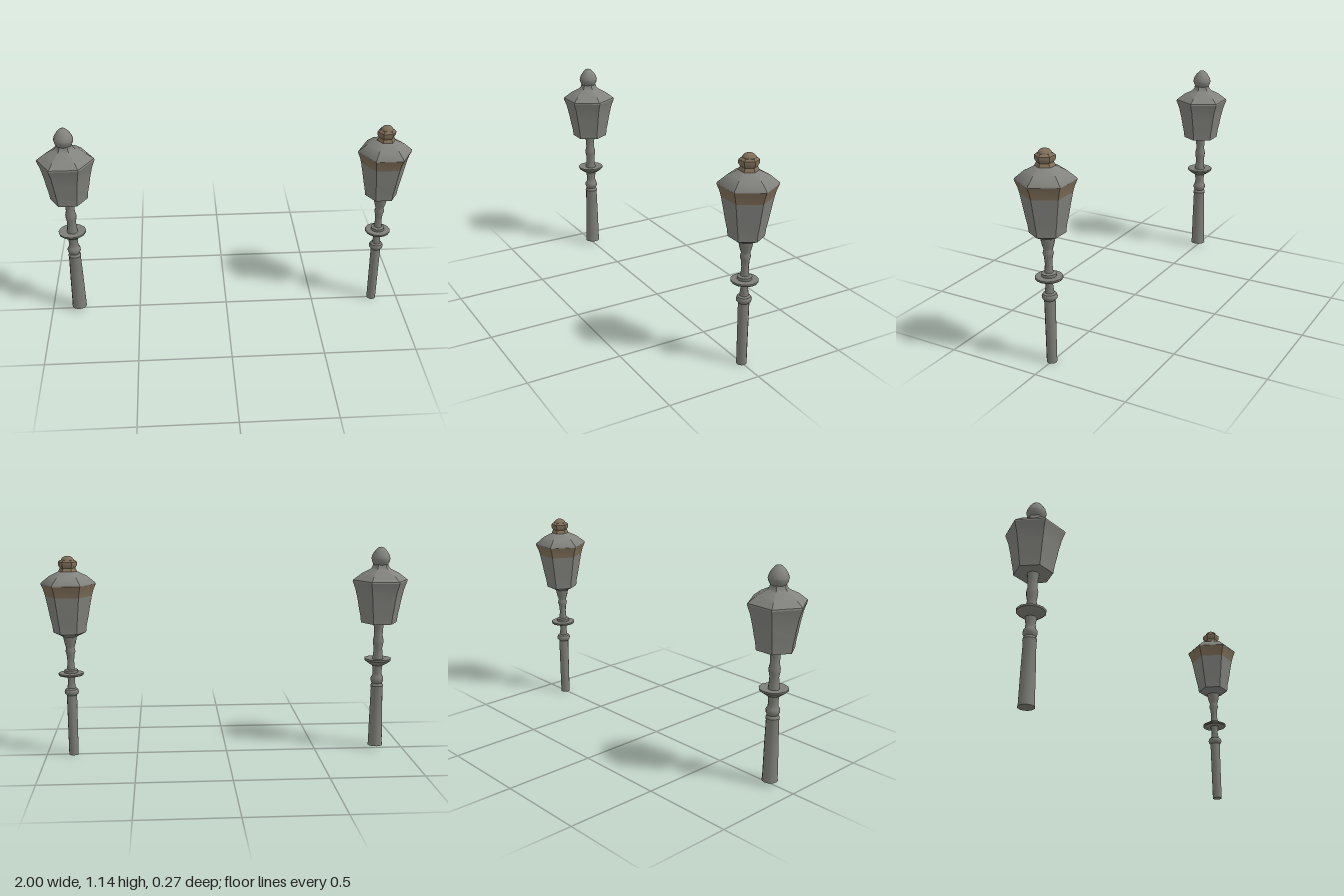
import * as THREE from 'three';
import { toCreasedNormals } from 'three/addons/utils/BufferGeometryUtils.js';

const mat = (name, color) => {
  const m = new THREE.MeshStandardMaterial({ color });
  m.name = name;
  return m;
};

// Turned part: profile of [radius, height] from bottom to top, one corner on +x
function turned(name, profile, sides, material) {
  const points = profile.map(([r, y]) => new THREE.Vector2(r, y));
  const geo = toCreasedNormals(new THREE.LatheGeometry(points, sides, Math.PI / 2), 0.6);
  const mesh = new THREE.Mesh(geo, material);
  mesh.name = name;
  return mesh;
}

function lamp(name, x, parts) {
  const group = new THREE.Group();
  group.name = name;
  group.position.x = x;
  parts.forEach(([part, sides, material, profile]) => group.add(turned(part, profile, sides, material)));
  return group;
}

export function createModel() {
  const iron = mat('iron grey', 0x82827e);
  const post = mat('post grey', 0x7d7e77);
  const rust = mat('rusty brown', 0x80705a);
  const model = new THREE.Group();
  model.name = 'streetLamps';

  // Taller lamp with a pointed finial
  model.add(lamp('pointedLamp', -0.847, [
    ['lowerPost', 12, post, [[0, 0.02], [0.042, 0.02], [0.04, 0.035], [0.037, 0.2], [0.033, 0.35],
      [0.036, 0.365], [0.029, 0.38], [0.036, 0.395], [0.036, 0.41], [0.027, 0.425], [0.025, 0.45], [0.03, 0.485]]],
    ['dish', 12, post, [[0.028, 0.482], [0.042, 0.488], [0.074, 0.512], [0.075, 0.522], [0.03, 0.518], [0, 0.518]]],
    ['upperPost', 12, post, [[0.03, 0.515], [0.027, 0.54], [0.024, 0.58], [0.029, 0.605], [0.03, 0.625],
      [0.024, 0.65], [0.026, 0.69], [0.031, 0.73]]],
    ['lantern', 6, iron, [[0, 0.725], [0.1, 0.725], [0.106, 0.77], [0.113, 0.8], [0.122, 0.85],
      [0.136, 0.91], [0.153, 0.955]]],
    ['roof', 6, iron, [[0.153, 0.955], [0.151, 0.963], [0.105, 0.998], [0.056, 1.022], [0.046, 1.035], [0.042, 1.05]]],
    ['finial', 16, iron, [[0.038, 1.045], [0.048, 1.062], [0.052, 1.08], [0.046, 1.1], [0.032, 1.122],
      [0.016, 1.138], [0, 1.143]]],
  ]));

  // Shorter lamp with a rusty cap and rusty band below the eaves
  model.add(lamp('roundCapLamp', 0.853, [
    ['lowerPost', 12, post, [[0, 0], [0.026, 0], [0.027, 0.2], [0.028, 0.34], [0.037, 0.35], [0.039, 0.362],
      [0.034, 0.374], [0.023, 0.38], [0.018, 0.42], [0.024, 0.455]]],
    ['disc', 16, post, [[0, 0.453], [0.066, 0.453], [0.069, 0.458], [0.068, 0.465], [0.036, 0.467],
      [0.037, 0.482], [0.025, 0.486], [0, 0.486]]],
    ['upperPost', 12, post, [[0.022, 0.48], [0.018, 0.53], [0.021, 0.565], [0.027, 0.585], [0.022, 0.605],
      [0.03, 0.63], [0.038, 0.67], [0.04, 0.685]]],
    ['lantern', 6, iron, [[0.03, 0.66], [0.048, 0.672], [0.088, 0.69], [0.093, 0.73], [0.102, 0.77], [0.115, 0.84], [0.125, 0.89]]],
    ['eavesBand', 6, rust, [[0.125, 0.89], [0.133, 0.92], [0.147, 0.953]]],
    ['roof', 6, iron, [[0.147, 0.953], [0.145, 0.961], [0.1, 0.998], [0.05, 1.022]]],
    ['cap', 6, rust, [[0.05, 1.022], [0.041, 1.04], [0.05, 1.055], [0.05, 1.073], [0.038, 1.083], [0, 1.083]]],
    ['capBall', 12, rust, [[0.034, 1.08], [0.033, 1.087], [0.024, 1.098], [0.01, 1.104], [0, 1.104]]],
  ]));
  return model;
}
